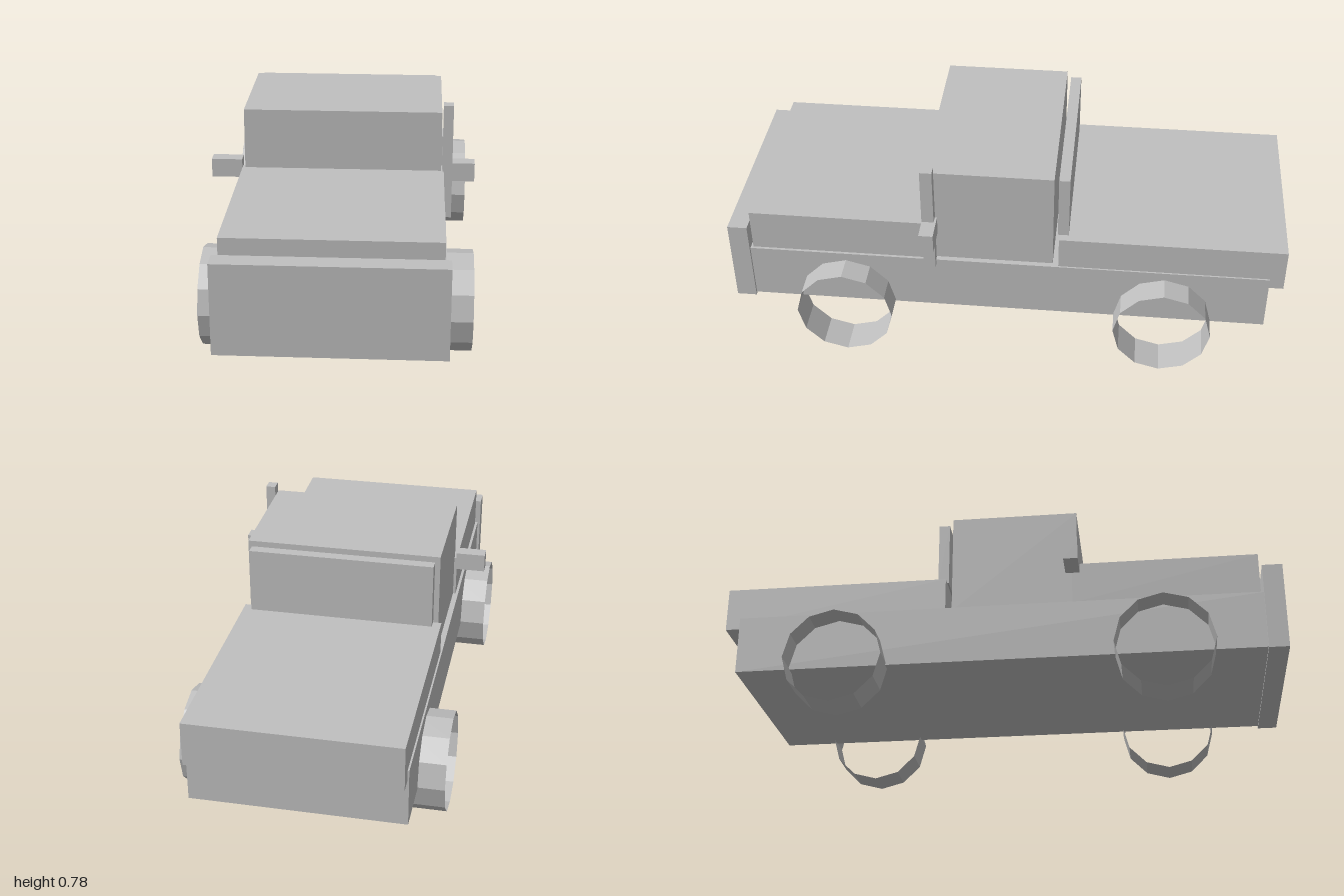
import * as THREE from 'three';

const bodyGrey = new THREE.MeshStandardMaterial({ color: 0xbfbfbf, flatShading: true, side: THREE.DoubleSide });
bodyGrey.name = 'body grey';

// Box given by its lower and upper limits on each axis
function block(name, [x0, x1], [y0, y1], [z0, z1]) {
  const mesh = new THREE.Mesh(new THREE.BoxGeometry(x1 - x0, y1 - y0, z1 - z0), bodyGrey);
  mesh.position.set((x0 + x1) / 2, (y0 + y1) / 2, (z0 + z1) / 2);
  mesh.name = name;
  return mesh;
}

export function createModel() {
  const truck = new THREE.Group();
  truck.name = 'pickupTruck';

  // Main body, front to back
  truck.add(
    block('chassis', [-0.37, 0.37], [0.168, 0.38], [-0.948, 0.94]),
    block('frontBumper', [-0.38, 0.38], [0.162, 0.48], [0.929, 1]),
    block('hood', [-0.36, 0.36], [0.38, 0.535], [0.26, 0.92]),
    block('cabin', [-0.35, 0.35], [0.38, 0.752], [-0.175, 0.28]),
    block('headboard', [-0.333, 0.333], [0.5, 0.738], [-0.229, -0.19]),
    block('cargoBed', [-0.364, 0.364], [0.34, 0.5], [-1, -0.196]),
    block('snorkel', [0.355, 0.39], [0.36, 0.78], [0.245, 0.288])
  );

  // Mirrors and open, twelve-sided wheel rims
  const rim = new THREE.CylinderGeometry(0.175, 0.175, 0.128, 12, 1, true).rotateZ(Math.PI / 2);
  for (const side of [-1, 1]) {
    const label = side > 0 ? 'left' : 'right';
    truck.add(block(label + 'Mirror', side > 0 ? [0.36, 0.469] : [-0.469, -0.36], [0.5, 0.567], [0.237, 0.288]));
    for (const end of [-1, 1]) {
      const wheel = new THREE.Mesh(rim, bodyGrey);
      wheel.name = label + (end > 0 ? 'FrontWheel' : 'RearWheel');
      wheel.position.set(side * 0.399, 0.175, end * 0.578);
      truck.add(wheel);
    }
  }
  return truck;
}
